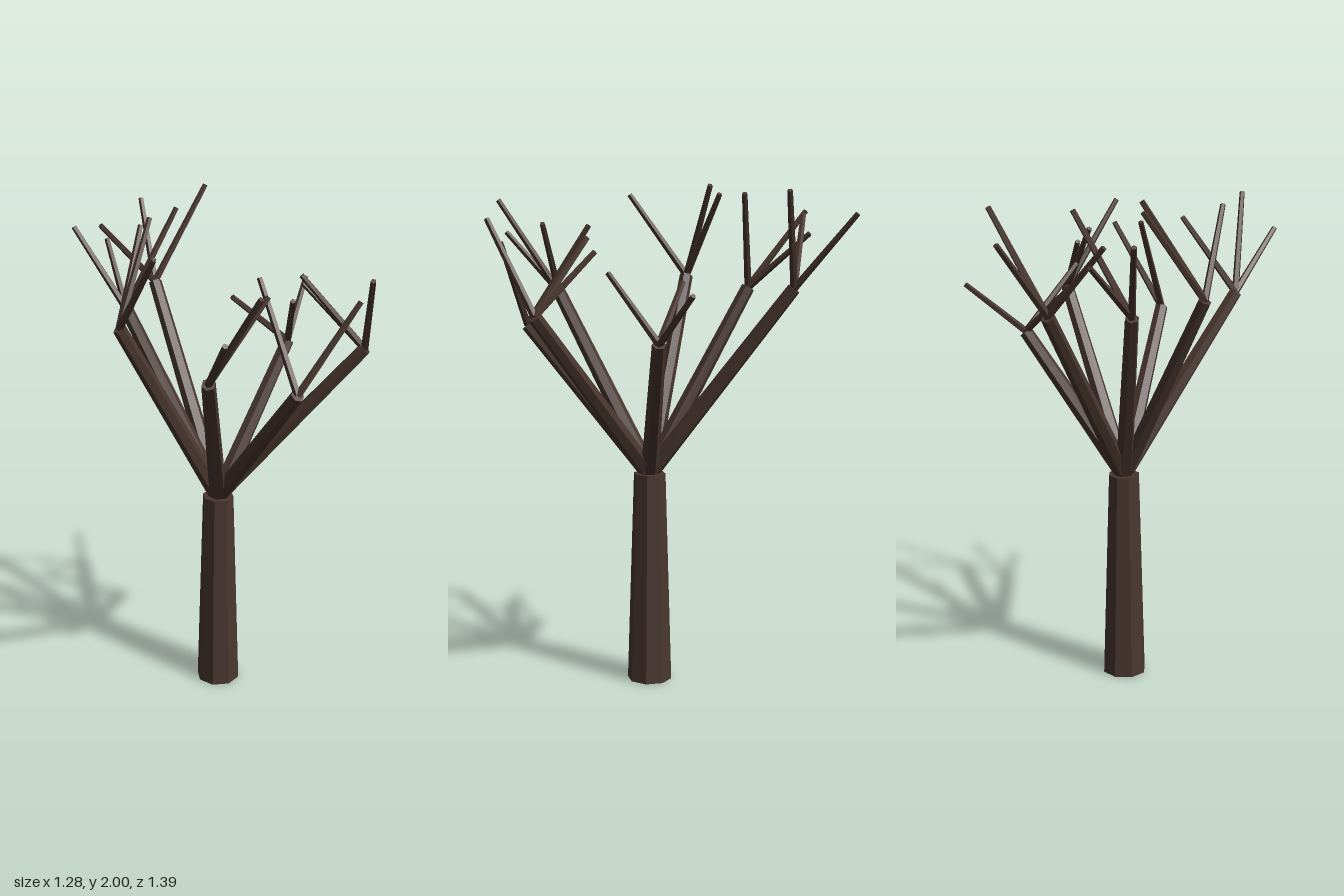
import * as THREE from 'three';

const V = (a) => new THREE.Vector3(...a);

// Tapered low-poly limb running from point a to point b
function limb(name, a, b, r0, r1, sides, material) {
  const dir = b.clone().sub(a);
  const mesh = new THREE.Mesh(new THREE.CylinderGeometry(r1, r0, dir.length(), sides), material);
  mesh.position.copy(a).addScaledVector(dir, 0.5);
  mesh.quaternion.setFromUnitVectors(new THREE.Vector3(0, 1, 0), dir.normalize());
  mesh.name = name;
  return mesh;
}

// Each branch: its end point and the tips of the twigs that grow from it
const BRANCHES = [
  { end: [-0.37, 1.61, -0.47], tips: [[-0.49, 1.9, -0.685], [-0.195, 1.99, -0.635], [-0.55, 1.88, -0.315]] },
  { end: [-0.4, 1.59, -0.16], tips: [[-0.635, 1.89, -0.235], [-0.54, 1.81, -0.365], [-0.235, 1.97, -0.33]] },
  { end: [-0.33, 1.62, 0.155], tips: [[-0.31, 1.96, -0.085], [-0.27, 1.995, -0.075], [-0.145, 1.95, 0.3]] },
  { end: [0.215, 1.43, -0.39], tips: [[0.24, 1.63, -0.625], [0.01, 1.64, -0.265], [0.28, 1.68, -0.155]] },
  { end: [0.575, 1.53, -0.105], tips: [[0.325, 1.76, -0.135], [0.325, 1.81, -0.085], [0.63, 1.88, 0.135]] },
  { end: [0.385, 1.455, 0.25], tips: [[0.585, 1.79, 0.11], [0.2, 1.845, 0.09]] },
  { end: [0.1, 1.555, 0.465], tips: [[0.215, 1.79, 0.685], [0.315, 1.93, 0.58], [0.28, 1.845, 0.3]] },
];

export function createModel() {
  const tree = new THREE.Group();
  tree.name = 'bareTree';
  const bark = new THREE.MeshStandardMaterial({ color: 0x4a3730 });
  bark.name = 'darkBark';
  bark.flatShading = true;

  // Trunk
  const fork = V([0.008, 0.86, -0.05]);
  tree.add(limb('trunk', V([0.008, 0, -0.05]), fork, 0.09, 0.064, 8, bark));

  // Branches fan out from the trunk top, each ending in a few twigs
  BRANCHES.forEach(({ end, tips }, i) => {
    const group = new THREE.Group();
    group.name = `branchGroup${i + 1}`;
    group.add(limb('branch', fork, V(end), 0.036, 0.027, 6, bark));
    for (const tip of tips) group.add(limb('twig', V(end), V(tip), 0.015, 0.011, 5, bark));
    tree.add(group);
  });
  return tree;
}
